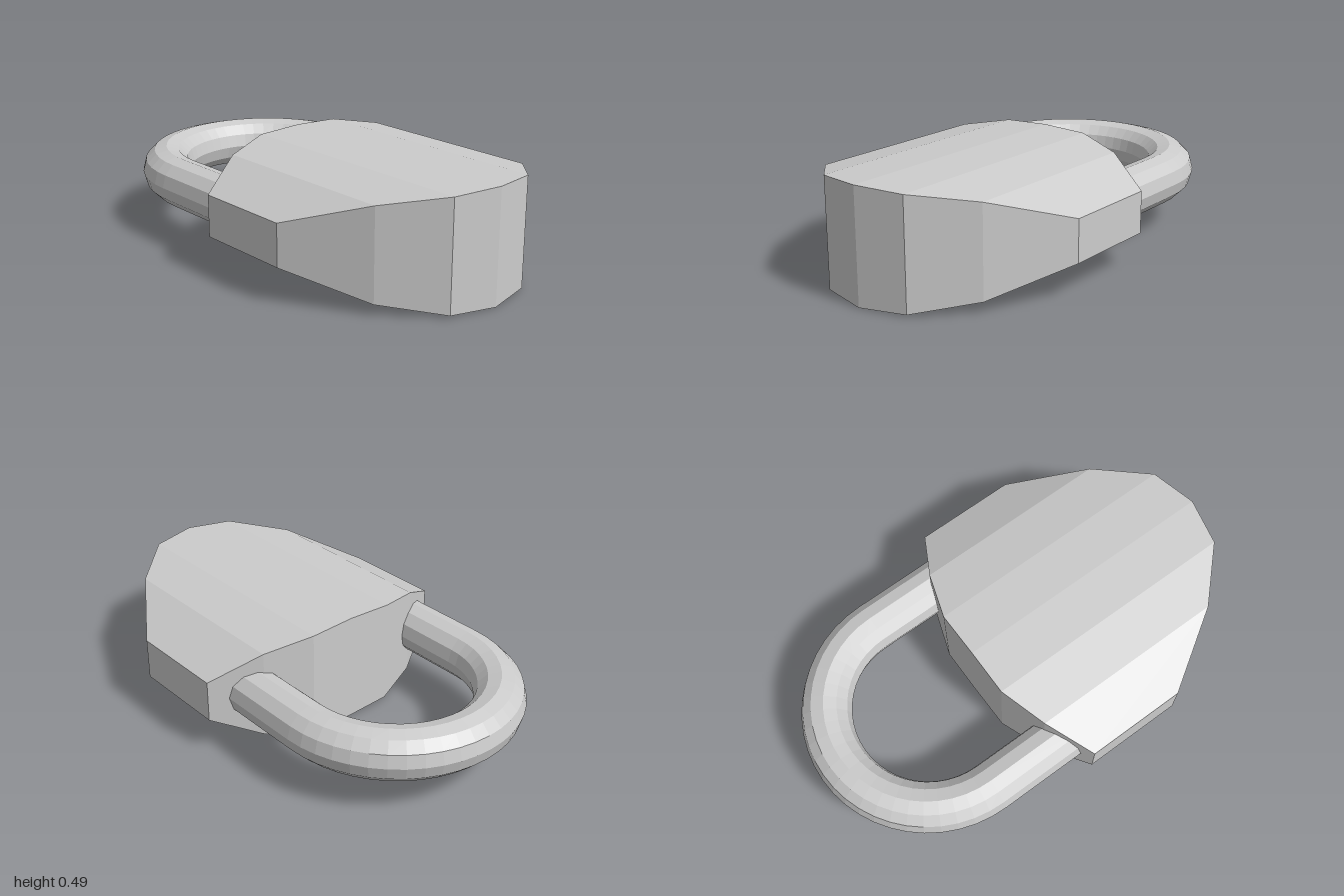
import * as THREE from 'three';

const MID_Y = 0.245;

// Half sections of the body: z, left edge x, right edge x, half height
const HALF = [
  [0, -0.2, 0.995, 0.245],
  [0.207, -0.2, 0.95, 0.236],
  [0.415, -0.13, 0.75, 0.197],
  [0.623, -0.02, 0.43, 0.091],
];

// Rectangular cross-sections lofted along z, with capped ends
function bodyGeometry() {
  const mirrored = HALF.slice(1).reverse().map(([z, ...rest]) => [-z, ...rest]);
  const rings = [...mirrored, ...HALF].map(([z, x0, x1, h]) => [
    [x0, MID_Y - h, z], [x1, MID_Y - h, z], [x1, MID_Y + h, z], [x0, MID_Y + h, z],
  ]);
  const positions = [];
  const quad = (a, b, c, d) => positions.push(...a, ...b, ...c, ...a, ...c, ...d);
  for (let i = 0; i < rings.length - 1; i++) {
    const p = rings[i], q = rings[i + 1];
    for (let j = 0; j < 4; j++) {
      const k = (j + 1) % 4;
      quad(p[j], p[k], q[k], q[j]);
    }
  }
  const first = rings[0], last = rings[rings.length - 1];
  quad(first[3], first[2], first[1], first[0]);
  quad(...last);
  const geometry = new THREE.BufferGeometry();
  geometry.setAttribute('position', new THREE.Float32BufferAttribute(positions, 3));
  geometry.computeVertexNormals();
  return geometry;
}

export function createModel() {
  const group = new THREE.Group();
  const material = new THREE.MeshStandardMaterial({ color: 0xcccccc, flatShading: true });
  const add = (parent, name, geometry) => {
    const mesh = new THREE.Mesh(geometry, material);
    mesh.name = name;
    parent.add(mesh);
    return mesh;
  };

  add(group, 'lockBody', bodyGeometry());

  // Shackle: half-ring bow and two straight legs running into the body
  const shackle = new THREE.Group();
  shackle.name = 'shackle';
  shackle.position.set(-0.442, 0.25, 0.013);
  group.add(shackle);

  const bend = 0.448, thickness = 0.11, legLength = 0.54;
  const bow = new THREE.TorusGeometry(bend, thickness, 12, 24, Math.PI);
  bow.rotateZ(Math.PI / 2).rotateX(Math.PI / 2);
  add(shackle, 'shackleBow', bow);

  for (const side of [-1, 1]) {
    const leg = new THREE.CylinderGeometry(thickness, thickness, legLength, 12);
    leg.rotateZ(Math.PI / 2).translate(legLength / 2, 0, side * bend);
    add(shackle, side > 0 ? 'frontLeg' : 'backLeg', leg);
  }

  return group;
}
